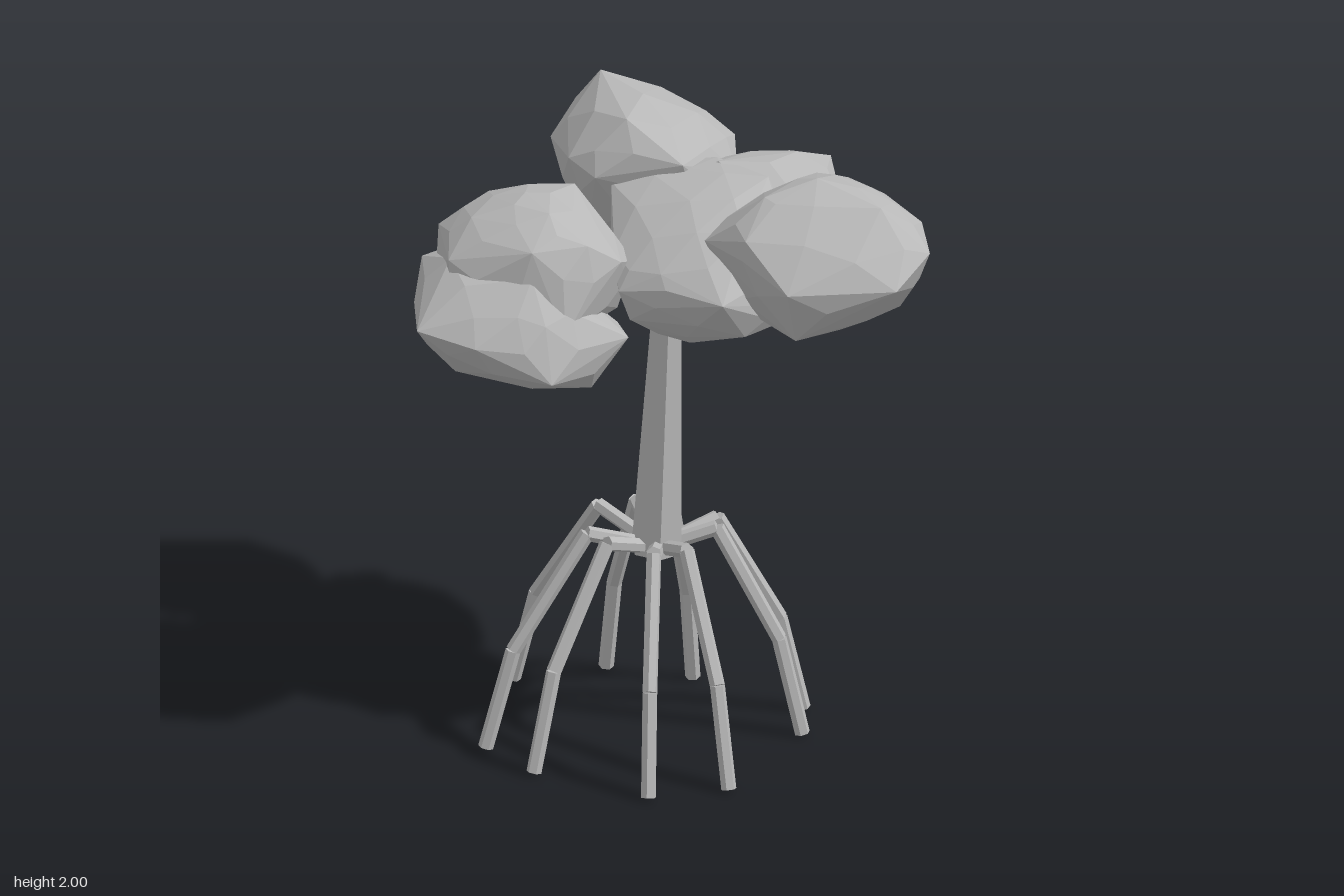
import * as THREE from 'three';
import { ConvexGeometry } from 'three/addons/geometries/ConvexGeometry.js';

const grey = new THREE.MeshStandardMaterial({ color: 0xb8b8b8 });
grey.name = 'plainGrey';

// Faceted foliage clump spanned by its corner points, each face puffed out a little
function foliage(name, corners) {
  const points = corners.map((c) => new THREE.Vector3(...c));
  const p = new ConvexGeometry(points).attributes.position;
  const face = new THREE.Triangle();
  for (let i = 0; i < p.count; i += 3) {
    face.setFromAttributeAndIndices(p, i, i + 1, i + 2);
    const bulge = face.getNormal(new THREE.Vector3()).multiplyScalar(0.1 * Math.sqrt(face.getArea()));
    points.push(face.getMidpoint(new THREE.Vector3()).add(bulge));
  }
  const mesh = new THREE.Mesh(new ConvexGeometry(points), grey);
  mesh.name = name;
  return mesh;
}

// Tapered straight limb between two points, with flat faces
function limb(name, from, to, r0, r1) {
  const a = new THREE.Vector3(...from);
  const b = new THREE.Vector3(...to);
  const d = b.clone().sub(a);
  const geometry = new THREE.CylinderGeometry(r1, r0, d.length(), 6).toNonIndexed();
  geometry.computeVertexNormals();
  const mesh = new THREE.Mesh(geometry, grey);
  mesh.position.copy(a).add(b).multiplyScalar(0.5);
  mesh.quaternion.setFromUnitVectors(new THREE.Vector3(0, 1, 0), d.normalize());
  mesh.name = name;
  return mesh;
}

export function createModel() {
  const tree = new THREE.Group();
  tree.name = 'stiltRootTree';

  // Leaning trunk, and a twig end that shows behind the crown
  tree.add(limb('trunk', [0.045, 0.64, 0.01], [0.1, 1.5, 0.01], 0.088, 0.052));
  tree.add(limb('twig', [-0.28, 1.5, -0.48], [-0.37, 1.6, -0.68], 0.06, 0.045));

  // Stilt roots: out from the trunk, over a bend, then down to the feet
  const feet = [[-0.58, 0.12], [-0.17, 0.54], [0.09, 0.54], [-0.48, -0.18], [-0.24, -0.35],
    [0.48, 0.37], [0.58, 0.12], [0.35, -0.35], [0.18, -0.48]];
  const stations = [[0.03, 0.655], [0.41, 0.72], [0.84, 0.335], [1, 0.005]];
  feet.forEach(([x, z]) => {
    const root = new THREE.Group();
    root.name = 'stiltRoot';
    const pts = stations.map(([t, y]) => [0.05 + (x - 0.05) * t, y, 0.01 + (z - 0.01) * t]);
    for (let i = 0; i < 3; i++) {
      root.add(limb('rootSegment', pts[i], pts[i + 1], 0.025, 0.025));
    }
    tree.add(root);
  });

  // Crown
  tree.add(
    foliage('leftFoliage', [
      [0.87, 1.73, -0.34], [0.81, 1.8, -0.52], [0.68, 1.94, -0.42], [0.47, 2, -0.32],
      [0.28, 1.92, -0.46], [0.25, 1.82, -0.63], [0.66, 1.84, -0.6], [0.67, 1.72, -0.05],
      [0.25, 1.78, -0.03], [0.47, 1.85, -0.03], [0.4, 1.95, -0.16], [0.11, 1.74, -0.2],
      [0.13, 1.76, -0.48], [0.47, 1.48, -0.33], [0.61, 1.54, -0.55], [0.62, 1.53, -0.12],
      [0.28, 1.55, -0.55], [0.3, 1.55, -0.12], [0.35, 1.68, -0.61], [0.65, 1.67, -0.6],
      [0.52, 1.94, -0.5],
    ]),
    foliage('rightFoliage', [
      [-0.71, 1.98, -0.33], [-0.33, 1.98, -0.15], [-0.35, 1.92, -0.45], [-0.87, 1.75, -0.36],
      [-0.85, 1.83, -0.38], [-0.67, 1.82, -0.61], [-0.36, 1.8, -0.61], [-0.2, 1.75, -0.5],
      [-0.12, 1.87, -0.22], [-0.34, 1.8, -0.03], [-0.47, 1.83, -0.02], [-0.78, 1.76, -0.18],
      [-0.82, 1.62, -0.35], [-0.7, 1.55, -0.28], [-0.5, 1.54, -0.12], [-0.4, 1.54, -0.45],
      [-0.6, 1.62, -0.58], [-0.15, 1.65, -0.3],
    ]),
    foliage('frontUpperFoliage', [
      [-0.25, 1.87, 0.32], [-0.08, 1.86, 0.35], [-0.25, 1.85, 0.12], [-0.5, 1.78, 0.28],
      [-0.53, 1.7, 0.46], [-0.45, 1.7, 0.08], [-0.4, 1.6, 0.01], [0, 1.65, 0.07],
      [0.08, 1.7, 0.18], [0.06, 1.78, 0.3], [0, 1.78, 0.48], [-0.25, 1.71, 0.63],
      [-0.3, 1.81, 0.5], [-0.53, 1.45, 0.45], [-0.45, 1.45, 0.1], [-0.1, 1.45, 0.06],
      [0.1, 1.5, 0.42], [-0.2, 1.5, 0.65],
    ]),
    foliage('frontLowerFoliage', [
      [-0.18, 1.53, 0.81], [0, 1.5, 0.71], [0.16, 1.38, 0.52], [0.1, 1.56, 0.5],
      [0.04, 1.27, 0.27], [0.12, 1.45, 0.18], [-0.42, 1.26, 0.39], [-0.2, 1.29, 0.2],
      [-0.2, 1.34, 0.64], [-0.55, 1.37, 0.5], [-0.54, 1.6, 0.52], [-0.28, 1.7, 0.6],
      [-0.5, 1.42, 0.16], [-0.1, 1.4, 0.06], [0, 1.69, 0.48], [-0.52, 1.6, 0.25],
    ]),
    foliage('backFoliage', [
      [-0.11, 1.76, -0.81], [-0.11, 1.6, -0.78], [0.2, 1.72, -0.63], [0.2, 1.5, -0.56],
      [-0.36, 1.7, -0.64], [-0.38, 1.5, -0.5], [-0.1, 1.35, -0.65], [0, 1.31, -0.32],
      [-0.33, 1.38, -0.38], [-0.05, 1.84, -0.63], [-0.1, 1.86, -0.35], [0.15, 1.82, -0.45],
      [0.1, 1.42, -0.13], [-0.2, 1.45, -0.12], [-0.3, 1.75, -0.3], [0.25, 1.7, -0.25],
      [-0.25, 1.36, -0.6], [0.15, 1.37, -0.52],
    ]),
    foliage('middleFoliage', [
      [0.44, 1.63, 0.04], [0.2, 1.41, -0.01], [0.1, 1.43, 0.05], [0.4, 1.48, -0.08],
      [0.08, 1.6, 0.19], [-0.05, 1.68, 0.11], [0.2, 1.68, 0.11], [0.05, 1.83, -0.12],
      [-0.32, 1.78, -0.08], [-0.15, 1.85, -0.38], [0.1, 1.86, -0.4], [0.3, 1.79, -0.15],
      [0.41, 1.52, -0.4], [-0.25, 1.55, -0.08], [0, 1.45, -0.3], [0.1, 1.5, 0.16],
      [-0.28, 1.82, -0.28],
    ]),
  );
  return tree;
}
